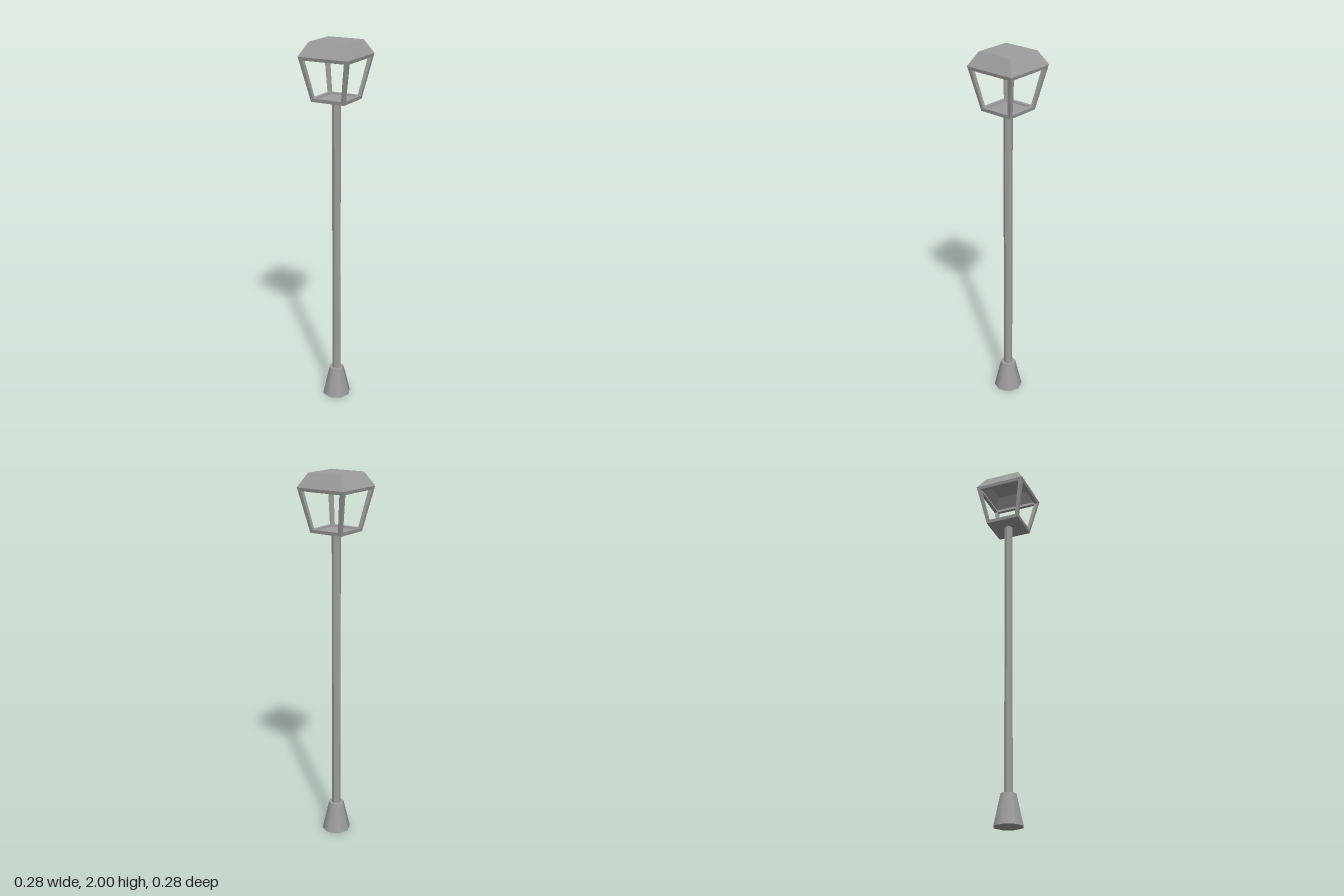
import * as THREE from 'three';

export function createModel() {
  const group = new THREE.Group();
  const color = 0x9d9d9d;
  const flat = new THREE.MeshStandardMaterial({ color, flatShading: true });
  const thin = new THREE.MeshStandardMaterial({ color, flatShading: true, side: THREE.DoubleSide });
  const smooth = new THREE.MeshStandardMaterial({ color });

  const add = (name, geometry, material = flat) => {
    const mesh = new THREE.Mesh(geometry, material);
    mesh.name = name;
    group.add(mesh);
  };

  // Four-sided lathe: profile given as [half width, height]
  const square = (profile) => new THREE.LatheGeometry(
    profile.map(([w, y]) => new THREE.Vector2(w * Math.SQRT2, y)), 4, Math.PI / 4);

  // Tapered eight-sided foot and pole
  add('base', new THREE.CylinderGeometry(0.042, 0.079, 0.163, 8).translate(0, 0.0815, 0), smooth);
  add('pole', new THREE.CylinderGeometry(0.0235, 0.0235, 1.56, 8).translate(0, 0.93, 0));

  // Lantern floor with a raised rim
  const bottom = 1.702, eave = 1.929;
  add('lanternFloor', new THREE.BoxGeometry(0.18, 0.008, 0.18).translate(0, bottom + 0.004, 0));
  add('lowerRail', square([
    [0.094, bottom], [0.097, 1.72], [0.079, 1.72], [0.076, bottom], [0.094, bottom]]));

  // Upper rim under the roof
  add('upperRail', square([
    [0.136, 1.912], [0.14, eave], [0.121, eave], [0.117, 1.912], [0.136, 1.912]]));

  // Corner posts lean outwards and thicken slightly to the top
  for (const sx of [-1, 1]) for (const sz of [-1, 1]) {
    const geometry = new THREE.BoxGeometry(1, 1, 1);
    const p = geometry.attributes.position;
    for (let i = 0; i < p.count; i++) {
      const t = p.getY(i) + 0.5;
      const centre = THREE.MathUtils.lerp(0.085, 0.129, t);
      const width = THREE.MathUtils.lerp(0.018, 0.021, t);
      p.setXYZ(i, sx * centre + p.getX(i) * width,
        THREE.MathUtils.lerp(bottom + 0.001, eave - 0.001, t),
        sz * centre + p.getZ(i) * width);
    }
    geometry.computeVertexNormals();
    add('cornerPost', geometry);
  }

  // Hollow hipped roof with a flat top
  add('roof', square([[0.1405, eave], [0.099, 2], [0, 2]]), thin);

  return group;
}
